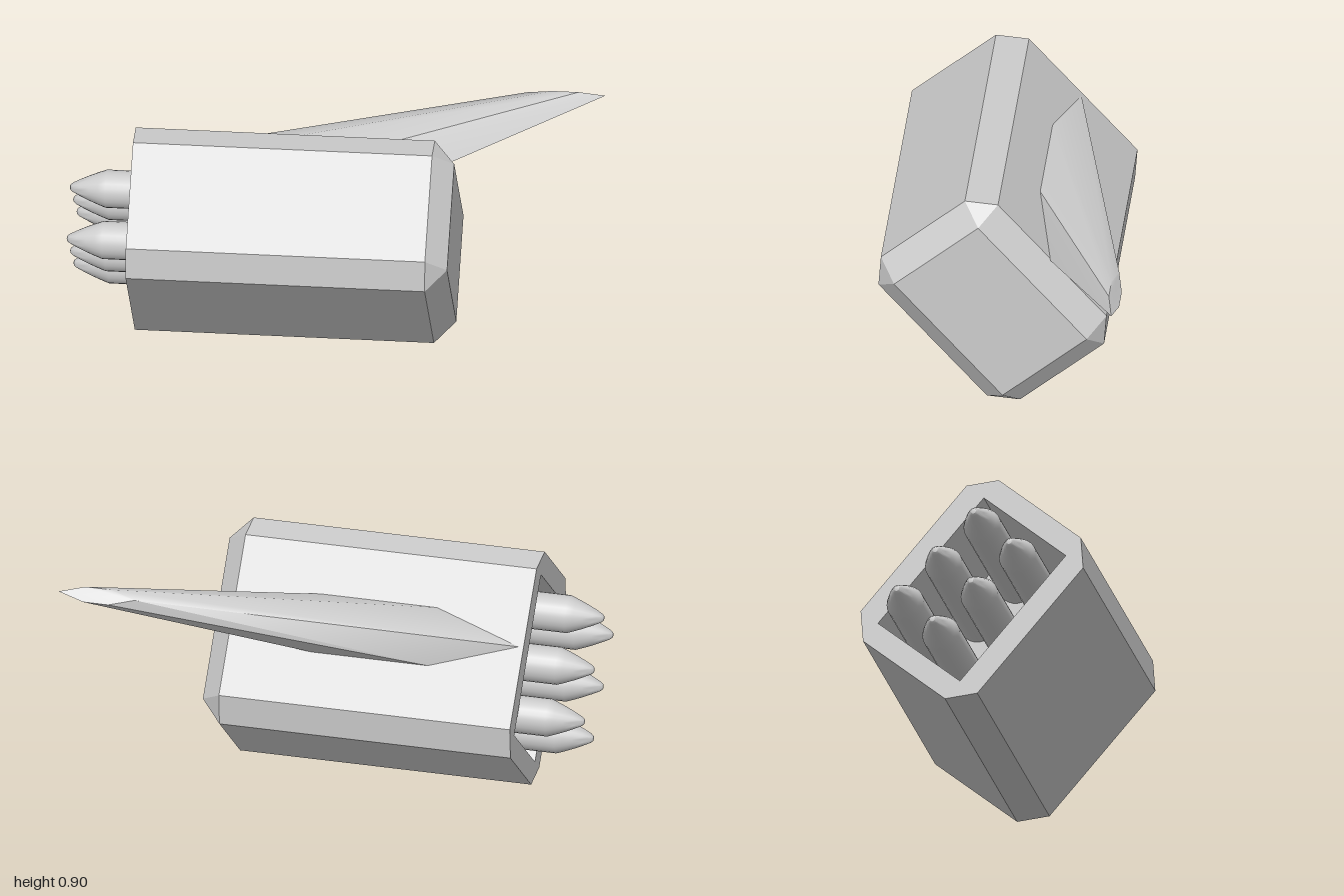
import * as THREE from 'three';
import { toCreasedNormals } from 'three/addons/utils/BufferGeometryUtils.js';

const material = new THREE.MeshStandardMaterial({ color: 0xcccccc });

function addMesh(parent, name, geometry) {
  const mesh = new THREE.Mesh(geometry, material);
  mesh.name = name;
  parent.add(mesh);
  return mesh;
}

// Skin between equal-length rings of Vector3, closed at both ends
function loft(rings, crease) {
  const out = [];
  const tri = (a, b, c) => {
    const area = b.clone().sub(a).cross(c.clone().sub(a)).length();
    if (area > 1e-7) for (const p of [a, b, c]) out.push(p.x, p.y, p.z);
  };
  const n = rings[0].length;
  for (let i = 0; i < rings.length - 1; i++) {
    for (let j = 0; j < n; j++) {
      const k = (j + 1) % n;
      const a = rings[i][j], b = rings[i][k], c = rings[i + 1][k], d = rings[i + 1][j];
      tri(a, b, c);
      tri(a, c, d);
    }
  }
  const first = rings[0], last = rings[rings.length - 1];
  for (let j = 1; j < n - 1; j++) {
    tri(first[0], first[j + 1], first[j]);
    tri(last[0], last[j], last[j + 1]);
  }
  const geometry = new THREE.BufferGeometry();
  geometry.setAttribute('position', new THREE.Float32BufferAttribute(out, 3));
  return toCreasedNormals(geometry, crease);
}

// Rectangle with chamfered corners (chamfer 0 gives doubled corners)
function boxRing(x, halfY, halfZ, c) {
  const y = halfY, z = halfZ;
  return [
    [y, z - c], [y - c, z], [-y + c, z], [-y, z - c],
    [-y, -z + c], [-y + c, -z], [y - c, -z], [y, -z + c],
  ].map(([py, pz]) => new THREE.Vector3(x, py, pz));
}

// Six-sided wing section: lead edge, flat middle, trailing edge
function wingRing([lead, front, rear, trail], y, half, z) {
  return [
    [lead, 0], [front, half], [rear, half], [trail, 0], [rear, -half], [front, -half],
  ].map(([x, dy]) => new THREE.Vector3(x, y + dy, z));
}

export function createModel() {
  const model = new THREE.Group();
  model.name = 'rocketPod';

  // Tilted housing and wing
  const pod = new THREE.Group();
  pod.name = 'tiltedPod';
  pod.position.set(0, 0.451, 0.051);
  pod.rotation.x = 0.713;
  model.add(pod);

  // Open recess, rim, outer shell and bevelled closed end
  const recessEnd = -0.3, mouth = -0.755;
  addMesh(pod, 'housing', loft([
    boxRing(recessEnd, 0.318, 0.213, 0),
    boxRing(mouth, 0.318, 0.213, 0),
    boxRing(mouth, 0.408, 0.303, 0.09),
    boxRing(0.39, 0.408, 0.303, 0.09),
    boxRing(0.47, 0.318, 0.213, 0),
  ], 0.2));

  // Swept wing
  addMesh(pod, 'wing', loft([
    wingRing([-0.74, -0.4, 0.06, 0.4], 0.008, 0.115, -0.302),
    wingRing([0.7, 0.8, 0.9, 1], -0.06, 0.03, -0.634),
  ], 0.7));

  // Two rows of three rockets pointing to -x
  const profile = [
    [0, 0.3], [0.073, 0.3], [0.073, 0.86], [0.062, 0.89], [0.048, 0.925],
    [0.032, 0.96], [0.018, 0.988], [0.01, 0.997], [0, 1],
  ].map(([r, y]) => new THREE.Vector2(r, y));
  const rocket = toCreasedNormals(new THREE.LatheGeometry(profile, 24).rotateZ(Math.PI / 2), 0.6);
  for (const row of [-1, 1]) {
    for (const i of [-1, 0, 1]) {
      addMesh(model, 'rocket', rocket)
        .position.set(0, 0.446 + 0.146 * i - 0.072 * row, 0.036 + 0.151 * i + 0.07 * row);
    }
  }
  return model;
}
